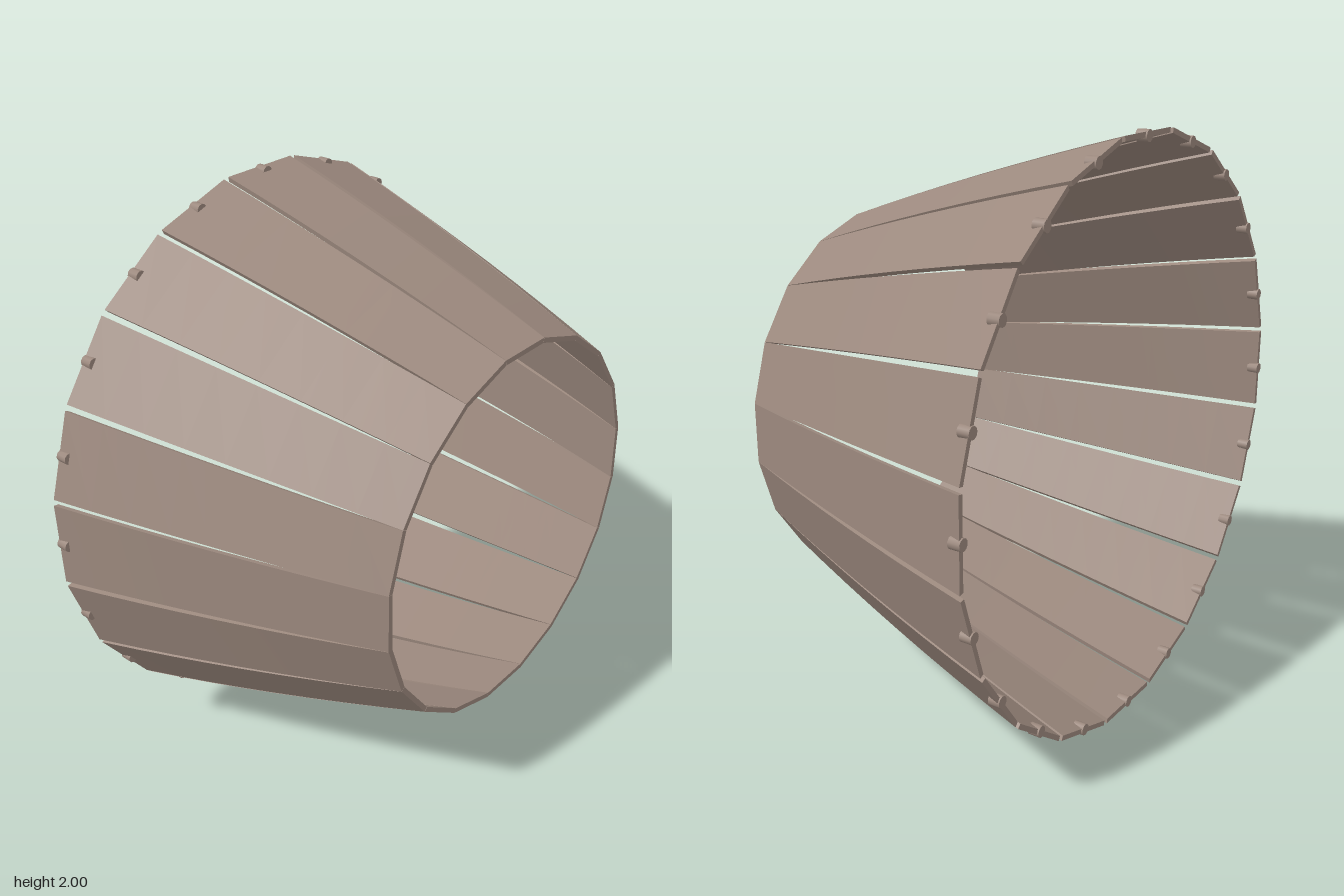
import * as THREE from 'three';

const COUNT = 20, STEPS = 8;
const HALF_LENGTH = 0.54, THICKNESS = 0.017;

// Cross-section of the top panel at t (0 = wide end, 1 = narrow end)
function section(t) {
  const x = -HALF_LENGTH + 2 * HALF_LENGTH * t;
  const r = THREE.MathUtils.lerp(0.993, 0.65, t) + 0.05 * t * (1 - t);
  const w = THREE.MathUtils.lerp(0.147, 0.1025, t);
  const inner = w - THICKNESS * Math.tan(Math.PI / COUNT);
  return [[x, r, w], [x, r, -w], [x, r - THICKNESS, -inner], [x, r - THICKNESS, inner]];
}

// Tapered, slightly bowed panel: four lengthwise strips and two end caps
function panelGeometry() {
  const pos = [], index = [];
  for (let side = 0; side < 4; side++) {
    const base = pos.length / 3;
    for (let i = 0; i <= STEPS; i++) {
      const s = section(i / STEPS);
      pos.push(...s[side], ...s[(side + 1) % 4]);
      if (i < STEPS) {
        const a = base + i * 2;
        index.push(a, a + 2, a + 1, a + 1, a + 2, a + 3);
      }
    }
  }
  for (const t of [0, 1]) {
    const base = pos.length / 3;
    const corners = section(t);
    if (t === 1) corners.reverse();
    pos.push(...corners.flat());
    index.push(base, base + 1, base + 2, base, base + 2, base + 3);
  }
  const geo = new THREE.BufferGeometry();
  geo.setAttribute('position', new THREE.Float32BufferAttribute(pos, 3));
  geo.setIndex(index);
  geo.computeVertexNormals();
  return geo;
}

export function createModel() {
  const model = new THREE.Group();
  model.name = 'panelledCone';
  const metal = new THREE.MeshStandardMaterial({ color: 0x9c897e });
  metal.name = 'warm grey metal';

  const panelGeo = panelGeometry();
  // Short pin set into the wide rim, lying along the axis
  const pinGeo = new THREE.CylinderGeometry(0.02, 0.02, 0.04, 10).rotateZ(Math.PI / 2);

  for (let i = 0; i < COUNT; i++) {
    const petal = new THREE.Group();
    petal.name = 'petal';
    const panel = new THREE.Mesh(panelGeo, metal);
    panel.name = 'panel';
    const pin = new THREE.Mesh(pinGeo, metal);
    pin.name = 'rimPin';
    pin.position.set(-0.525, 0.98, 0);
    petal.add(panel, pin);
    petal.rotation.x = (i / COUNT) * Math.PI * 2;
    petal.position.y = 1;
    model.add(petal);
  }
  return model;
}
